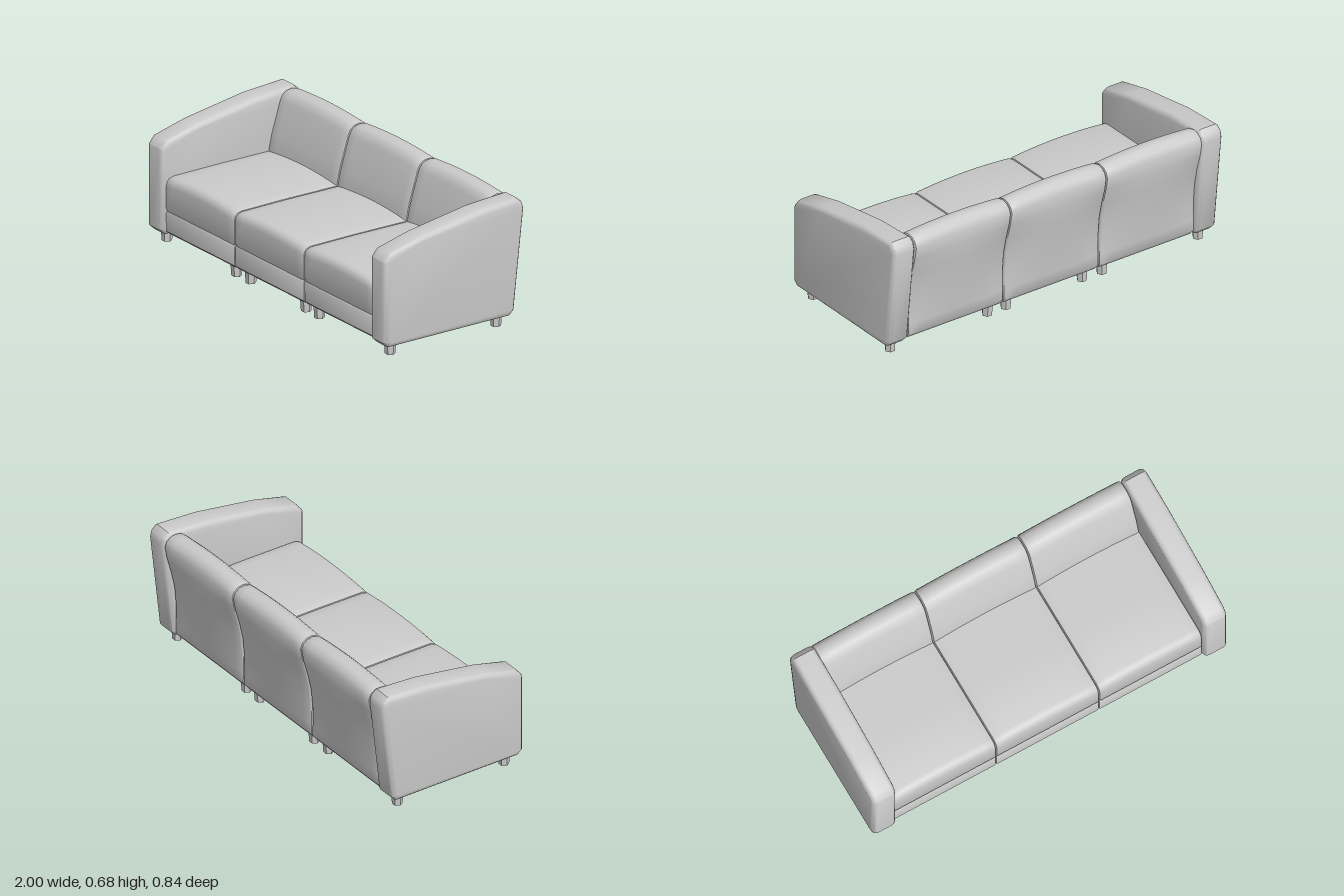
import * as THREE from 'three';
import { toCreasedNormals } from 'three/addons/utils/BufferGeometryUtils.js';

const material = new THREE.MeshStandardMaterial({ color: 0xcccccc });
const legMaterial = new THREE.MeshStandardMaterial({ color: 0xcccccc, flatShading: true });

// Side profile of [z, y] points, run along x with bevelled ends, then reshaped by an optional rule
function padded(name, profile, width, bevel, { segments = 2, steps = 1, rule, crease = 0.7 } = {}) {
  const shape = new THREE.Shape(profile.map(([z, y]) => new THREE.Vector2(z, y)));
  const depth = width - 2 * bevel;
  const geometry = new THREE.ExtrudeGeometry(shape, {
    depth, steps, bevelEnabled: true, bevelSegments: segments,
    bevelSize: bevel, bevelThickness: bevel, bevelOffset: -bevel,
  });
  geometry.translate(0, 0, -depth / 2);
  geometry.rotateY(-Math.PI / 2);
  if (rule) {
    const pos = geometry.attributes.position;
    const p = new THREE.Vector3();
    for (let i = 0; i < pos.count; i++) {
      p.fromBufferAttribute(pos, i);
      rule(p, Math.max(0, 1 - (2 * p.x / width) ** 2));
      pos.setXYZ(i, p.x, p.y, p.z);
    }
  }
  const mesh = new THREE.Mesh(toCreasedNormals(geometry, crease), material);
  mesh.name = name;
  return mesh;
}

const armProfile = [
  [0.395, 0.057], [0.423, 0.083], [0.423, 0.51], [0.39, 0.55], [0.2, 0.598], [-0.15, 0.653],
  [-0.382, 0.667], [-0.412, 0.642], [-0.421, 0.605], [-0.362, 0.083], [-0.335, 0.057],
];
const baseProfile = [
  [0.385, 0.065], [0.4, 0.08], [0.402, 0.175], [0.395, 0.186], [-0.31, 0.186], [-0.31, 0.065],
];
const cushionProfile = [
  [0.395, 0.184], [0.402, 0.2], [0.402, 0.315], [0.397, 0.338], [0.383, 0.354], [0.36, 0.361],
  [0.1, 0.363], [-0.26, 0.36], [-0.26, 0.184],
];
const backProfile = [
  [-0.2, 0.067], [-0.215, 0.36], [-0.235, 0.45], [-0.285, 0.61], [-0.3, 0.638], [-0.32, 0.654],
  [-0.35, 0.661], [-0.382, 0.656], [-0.408, 0.636], [-0.42, 0.605], [-0.408, 0.54], [-0.382, 0.45],
  [-0.362, 0.36], [-0.352, 0.25], [-0.352, 0.15], [-0.354, 0.09], [-0.335, 0.066],
];

// Crowned top of the seat cushion
function crownSeat(p, crown) {
  if (p.y > 0.28) p.y += 0.016 * crown;
}

// Crowned top of the backrest and a fuller middle of its rear
function crownBack(p, crown) {
  if (p.y > 0.55) p.y += 0.014 * crown * Math.min(1, (p.y - 0.55) / 0.08);
  if (p.z < -0.33 && p.y > 0.1 && p.y < 0.6) {
    p.z -= 0.026 * crown * Math.sin(Math.PI * (p.y - 0.1) / 0.5);
  }
}

export function createModel() {
  const sofa = new THREE.Group();
  sofa.name = 'sofa';

  // Arms
  for (const side of [1, -1]) {
    const arm = padded(side > 0 ? 'leftArm' : 'rightArm', armProfile, 0.132, 0.026, { segments: 3 });
    arm.position.x = side * 0.934;
    sofa.add(arm);
  }

  // Three seat sections, each with base, cushion and backrest
  const names = ['rightSection', 'middleSection', 'leftSection'];
  names.forEach((name, i) => {
    const section = new THREE.Group();
    section.name = name;
    section.position.x = -0.004 + (i - 1) * 0.581;
    section.add(
      padded('base', baseProfile, 0.579, 0.008),
      padded('seatCushion', cushionProfile, 0.579, 0.01, { steps: 12, rule: crownSeat }),
      padded('backrest', backProfile, 0.579, 0.012, { steps: 12, rule: crownBack }),
    );
    sofa.add(section);
  });

  // Tapered legs
  const legGeometry = new THREE.CylinderGeometry(0.031, 0.026, 0.075, 6);
  legGeometry.rotateY(Math.PI / 6);
  for (const x of [-0.937, -0.353, -0.233, 0.23, 0.342, 0.933]) {
    for (const z of [0.347, -0.292]) {
      const leg = new THREE.Mesh(legGeometry, legMaterial);
      leg.name = z > 0 ? 'frontLeg' : 'backLeg';
      leg.position.set(x, 0.0375, z);
      sofa.add(leg);
    }
  }
  return sofa;
}
